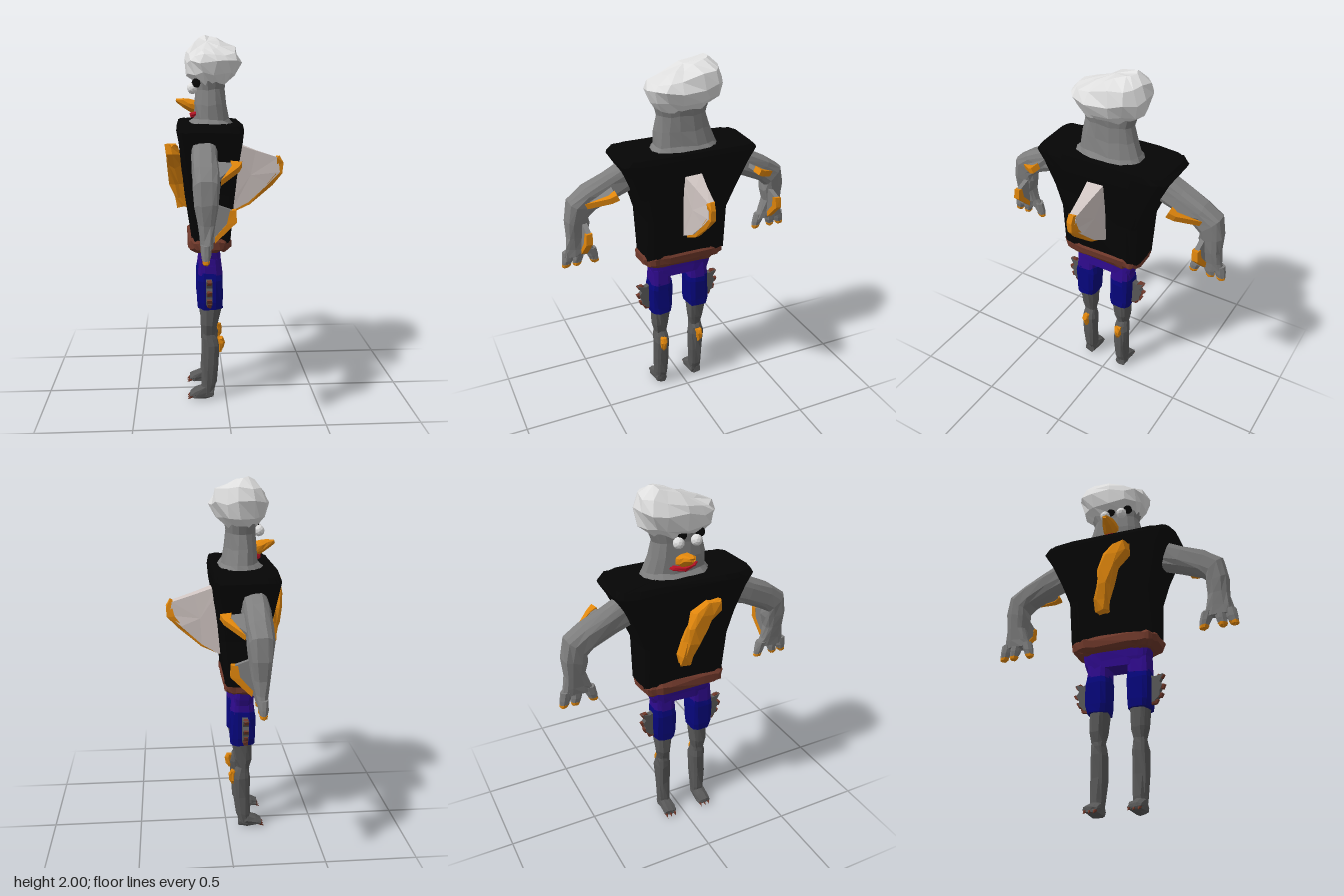
import * as THREE from 'three';

const mat = (name, color, double) => {
  const m = new THREE.MeshStandardMaterial({ color, flatShading: true });
  m.name = name;
  return m;
};
const M = {
  black: mat('shirt black', 0x050505), skin: mat('skin grey', 0x7e7e7e), leg: mat('leg grey', 0x585858),
  white: mat('cap white', 0xdedede), fin: mat('pale fin', 0xd0c5c2), orange: mat('orange', 0xe0860c),
  brown: mat('belt brown', 0x6e382a), purple: mat('purple', 0x2e0a8c), blue: mat('shorts blue', 0x06067c),
  red: mat('lip red', 0xc01428),
};

// repeatable noise in -0.5..0.5 from a position
const noise = (x, y, z, k) => {
  const s = Math.sin(x * 127.1 + y * 311.7 + z * 74.7 + k * 19.3) * 43758.5453;
  return s - Math.floor(s) - 0.5;
};

// closed, roughened skin over a list of rings with equal point counts
function loft(rings, rough = 0) {
  const n = rings[0].length, pos = [], idx = [];
  const put = (p) => pos.push(...p.map((v, k) => v + rough * noise(p[0], p[1], p[2], k)));
  const mid = (r) => [0, 1, 2].map((k) => r.reduce((t, p) => t + p[k], 0) / n);
  rings.forEach((r) => r.forEach(put));
  put(mid(rings[0]));
  put(mid(rings[rings.length - 1]));
  const a0 = rings.length * n, last = a0 - n;
  for (let j = 0; j < n; j++) {
    const k = (j + 1) % n;
    for (let i = 0; i < last; i += n) idx.push(i + j, i + k, i + n + k, i + j, i + n + k, i + n + j);
    idx.push(a0, k, j, a0 + 1, last + j, last + k);
  }
  // turn the faces outward
  const V = (i) => new THREE.Vector3().fromArray(pos, i * 3);
  const o = V(a0);
  let vol = 0;
  for (let t = 0; t < idx.length; t += 3)
    vol += V(idx[t]).sub(o).dot(V(idx[t + 1]).sub(o).cross(V(idx[t + 2]).sub(o)));
  if (vol < 0) idx.reverse();
  const g = new THREE.BufferGeometry();
  g.setAttribute('position', new THREE.Float32BufferAttribute(pos, 3));
  g.setIndex(idx);
  const flat = g.toNonIndexed();
  flat.computeVertexNormals();
  return flat;
}

// superellipse ring: centre, two half axes, squareness
function ring(c, u, v, p = 2, n = 12) {
  return Array.from({ length: n }, (_, i) => {
    const t = ((i + 0.5) / n) * Math.PI * 2, f = (w) => Math.sign(w) * Math.abs(w) ** (2 / p);
    return c.map((q, k) => q + u[k] * f(Math.cos(t)) + v[k] * f(Math.sin(t)));
  });
}
// horizontal rings from [y, x0, x1, z0, z1, tilt]
const stack = (rows, p, n, rough) => loft(rows.map(([y, x0, x1, z0, z1, tilt = 0]) =>
  ring([(x0 + x1) / 2, y, (z0 + z1) / 2], [(x1 - x0) / 2, 0, 0], [0, tilt, (z1 - z0) / 2], p, n)), rough);

// thin plate through a 3D outline, moved both ways along d
const plate = (pts, d, rough) =>
  loft([-1, 1].map((s) => pts.map((p) => p.map((v, k) => v + s * d[k]))), rough);

export function createModel() {
  const model = new THREE.Group();
  const add = (name, geo, m) => {
    const mesh = new THREE.Mesh(geo, m);
    mesh.name = name;
    model.add(mesh);
    return mesh;
  };

  // torso, belt, hips
  add('shirt', stack([[0.92, -0.185, 0.02, -0.23, 0.25], [1.17, -0.22, 0.045, -0.235, 0.25],
    [1.3, -0.235, 0.06, -0.29, 0.29], [1.44, -0.25, 0.08, -0.355, 0.345], [1.505, -0.258, 0.086, -0.395, 0.385],
    [1.535, -0.25, 0.08, -0.37, 0.36]], 7, 28, 0.008), M.black);
  add('belt', stack([[0.865, -0.18, 0.005, -0.2, 0.22], [0.885, -0.205, 0.025, -0.225, 0.255],
    [0.925, -0.205, 0.025, -0.23, 0.26], [0.95, -0.18, 0.01, -0.21, 0.24]], 5, 28, 0.014), M.brown);
  add('hips', stack([[0.78, -0.145, -0.025, -0.155, 0.2], [0.82, -0.15, -0.025, -0.165, 0.2],
    [0.88, -0.155, -0.03, -0.175, 0.21]], 4, 20, 0.008), M.purple);

  // neck, head and cap
  add('neck', stack([[1.53, -0.2, 0.05, -0.2, 0.185], [1.555, -0.165, 0.025, -0.18, 0.165],
    [1.63, -0.165, 0.01, -0.155, 0.155], [1.71, -0.155, 0, -0.135, 0.14], [1.8, -0.16, 0.01, -0.16, 0.16]],
  2.4, 16, 0.01), M.skin);
  add('cap', stack([[1.74, -0.15, 0.0, -0.13, 0.14], [1.79, -0.2, 0.045, -0.195, 0.185],
    [1.86, -0.222, 0.082, -0.22, 0.205, -0.015], [1.915, -0.195, 0.06, -0.2, 0.185, -0.035],
    [1.955, -0.15, -0.02, -0.145, 0.1, -0.045]], 2.4, 15, 0.022), M.white);

  // face
  [-0.035, 0.065].forEach((z) => {
    const eye = new THREE.IcosahedronGeometry(0.03, 1);
    eye.translate(-0.172, 1.715, z);
    add('eye', eye, M.white);
    const brow = new THREE.IcosahedronGeometry(0.026, 1);
    brow.translate(-0.15, 1.745, z + 0.03);
    add('brow', brow, M.black);
  });
  add('beak', loft([[-0.14, 1.61, 0.05], [-0.19, 1.625, 0.045], [-0.22, 1.64, 0.032], [-0.258, 1.652, 0.012]]
    .map(([x, y, r]) => ring([x, y, 0], [0, r * 0.75, 0], [0, 0, r], 2, 8)), 0.01), M.orange);
  add('lips', loft([-1, -0.6, 0, 0.6, 1].map((t) =>
    ring([-0.172 + 0.05 * t * t, 1.575 + 0.02 * t * t, t * 0.1], [0.018, 0, 0], [0, 0.016, 0], 2, 8)), 0.006), M.red);

  // chest crest
  add('chestCrest', loft([[-0.22, 1.07, -0.025, 0.035, 0.03], [-0.235, 1.12, -0.02, 0.045, 0.04],
    [-0.25, 1.21, 0, 0.045, 0.04], [-0.265, 1.3, 0.03, 0.045, 0.06], [-0.28, 1.37, 0.07, 0.045, 0.075],
    [-0.29, 1.42, 0.11, 0.03, 0.045]]
    .map(([x, y, z, a, b]) => ring([x, y, z], [a, 0, 0], [0, 0, b], 3, 10)), 0.022), M.orange);

  // back fin, thinning toward its rim
  const taper = (pts, extra) => loft([-1, 1].map((s) => pts.map(([x, y]) =>
    [x, y, s * (Math.max(0.018, 0.062 - 0.16 * x) * (y < 1.15 ? 0.7 : 1) + extra)])), 0.008);
  add('backFin', taper([[0.02, 1.43], [0.06, 1.42], [0.17, 1.38], [0.29, 1.34], [0.305, 1.26],
    [0.24, 1.2], [0.13, 1.1], [0.04, 1.05], [0, 1.05]], 0), M.fin);
  const rim = [[0.285, 1.345, 0.3, 1.35], [0.285, 1.3, 0.322, 1.31], [0.28, 1.255, 0.318, 1.25],
    [0.235, 1.205, 0.262, 1.19], [0.13, 1.115, 0.135, 1.085], [0.035, 1.065, 0.03, 1.035]];
  add('backFinRim', loft(rim.map(([a, b, c, d]) =>
    [[a, b, 0.022], [c, d, 0.014], [c, d, -0.014], [a, b, -0.022]]), 0.008), M.orange);

  for (const s of [1, -1]) {
    // arm: centre z, y; half width across (z, y); half depth in x
    const arm = [[0.27, 1.41, 0.03, 0.075, 0.065], [0.4, 1.355, 0.025, 0.068, 0.068], [0.52, 1.3, 0.025, 0.066, 0.066],
      [0.58, 1.255, 0.052, 0.05, 0.062], [0.59, 1.18, 0.062, 0.012, 0.055], [0.592, 1.1, 0.055, 0, 0.045],
      [0.59, 1.03, 0.07, 0, 0.034], [0.585, 0.985, 0.09, 0, 0.026]];
    add('arm', loft(arm.map(([z, y, wz, wy, d]) =>
      ring([-0.12, y, s * z], [d, 0, 0], [0, wy, s * wz], 3, 12)), 0.01), M.skin);
    [[0.645, 0.667], [0.59, 0.605], [0.525, 0.5]].forEach(([z0, z1]) => {
      const seg = (rows) => loft(rows.map(([t, r]) =>
        ring([-0.125, 1.01 - t * 0.095, s * (z0 + (z1 - z0) * t)], [r * 0.8, 0, 0], [0, 0, s * r], 2, 8)), 0.004);
      add('finger', seg([[0, 0.034], [0.5, 0.03], [0.78, 0.024]]), M.skin);
      add('fingerTip', seg([[0.76, 0.026], [0.92, 0.022], [1, 0.01]]), M.orange);
    });

    // arm fins with orange rims
    const P = (pts) => pts.map(([x, y, z]) => [x, y, s * z]);
    const d1 = [0, 0.011, s * 0.005], d1w = [0, 0.015, s * 0.007];
    add('upperArmFin', plate(P([[-0.08, 1.28, 0.55], [-0.08, 1.36, 0.4], [0.045, 1.352, 0.415]]), d1), M.skin);
    add('upperArmFinRim', plate(P([[-0.05, 1.285, 0.55], [0.01, 1.34, 0.435], [0.005, 1.36, 0.405],
      [0.062, 1.355, 0.41], [0.045, 1.335, 0.445]]), d1w), M.orange);
    const d2 = [0, 0, 0.013], d2w = [0, 0, 0.017];
    add('forearmFin', plate(P([[-0.09, 1.19, 0.56], [0.01, 1.155, 0.562], [0.012, 1.1, 0.565],
      [-0.09, 1.0, 0.57]]), d2), M.skin);
    add('forearmFinRim', plate(P([[-0.015, 1.105, 0.565], [-0.01, 1.155, 0.562], [0.02, 1.16, 0.562],
      [0.024, 1.1, 0.565], [-0.08, 1.0, 0.57], [-0.082, 1.03, 0.57]]), d2w, 0.004), M.orange);

    // legs, centred a little toward +z
    const z0 = 0.025 + s * 0.114;
    const limb = (rows, p, rough) => stack(rows.map(([y, x0, x1, w]) => [y, x0, x1, z0 - w, z0 + w]), p, 12, rough);
    add('shortsLeg', limb([[0.54, -0.155, -0.02, 0.06], [0.58, -0.16, -0.018, 0.066], [0.7, -0.16, -0.018, 0.067],
      [0.74, -0.152, -0.022, 0.064]], 3.5, 0.008), M.blue);
    add('shortsTop', limb([[0.73, -0.152, -0.022, 0.063], [0.82, -0.145, -0.03, 0.062]], 3.5, 0.008), M.purple);
    add('lowerLeg', limb([[0.03, -0.135, -0.075, 0.034], [0.09, -0.135, -0.055, 0.037], [0.2, -0.13, -0.04, 0.042],
      [0.32, -0.13, -0.035, 0.045], [0.36, -0.13, -0.045, 0.038], [0.385, -0.128, -0.06, 0.034],
      [0.44, -0.138, -0.045, 0.044], [0.55, -0.142, -0.025, 0.052]], 2.6, 0.01), M.leg);
    add('foot', loft([[-0.07, 0.04, 0.03, 0.032], [-0.12, 0.045, 0.04, 0.036], [-0.17, 0.036, 0.026, 0.042],
      [-0.2, 0.03, 0.014, 0.036]].map(([x, y, h, w]) =>
      ring([x, y, z0], [0, h, 0], [0, 0, w], 2.6, 10)), 0.008), M.leg);
    for (const k of [-1, 0, 1]) {
      const claw = new THREE.ConeGeometry(0.011, 0.034, 6);
      claw.rotateZ(2.2);
      claw.translate(-0.203, 0.016, z0 + k * 0.026);
      add('claw', claw, M.brown);
    }
    add('calfSpur', limb([[0.275, -0.05, -0.028, 0.008], [0.3, -0.05, -0.016, 0.016], [0.335, -0.05, -0.008, 0.018],
      [0.358, -0.06, -0.02, 0.02]], 2, 0.01), M.orange);

    // thigh fins with ragged brown rims
    const F = (pts) => pts.map(([z, y]) => [-0.095, y, 0.025 + s * z]);
    add('thighFin', plate(F([[0.16, 0.64], [0.16, 0.72], [0.2, 0.705], [0.245, 0.715], [0.225, 0.675], [0.24, 0.655],
      [0.225, 0.625], [0.225, 0.6], [0.195, 0.57], [0.16, 0.56]]), [0.016, 0, 0]), M.leg);
    [[0.235, 0.71], [0.24, 0.655], [0.225, 0.61], [0.2, 0.575]].forEach(([z, y]) =>
      add('thighFinRim', plate(F([[z - 0.035, y - 0.02], [z - 0.02, y + 0.008], [z + 0.015, y + 0.004],
        [z + 0.005, y - 0.018]]), [0.012, 0, 0], 0.006), M.brown));
  }
  return model;
}
